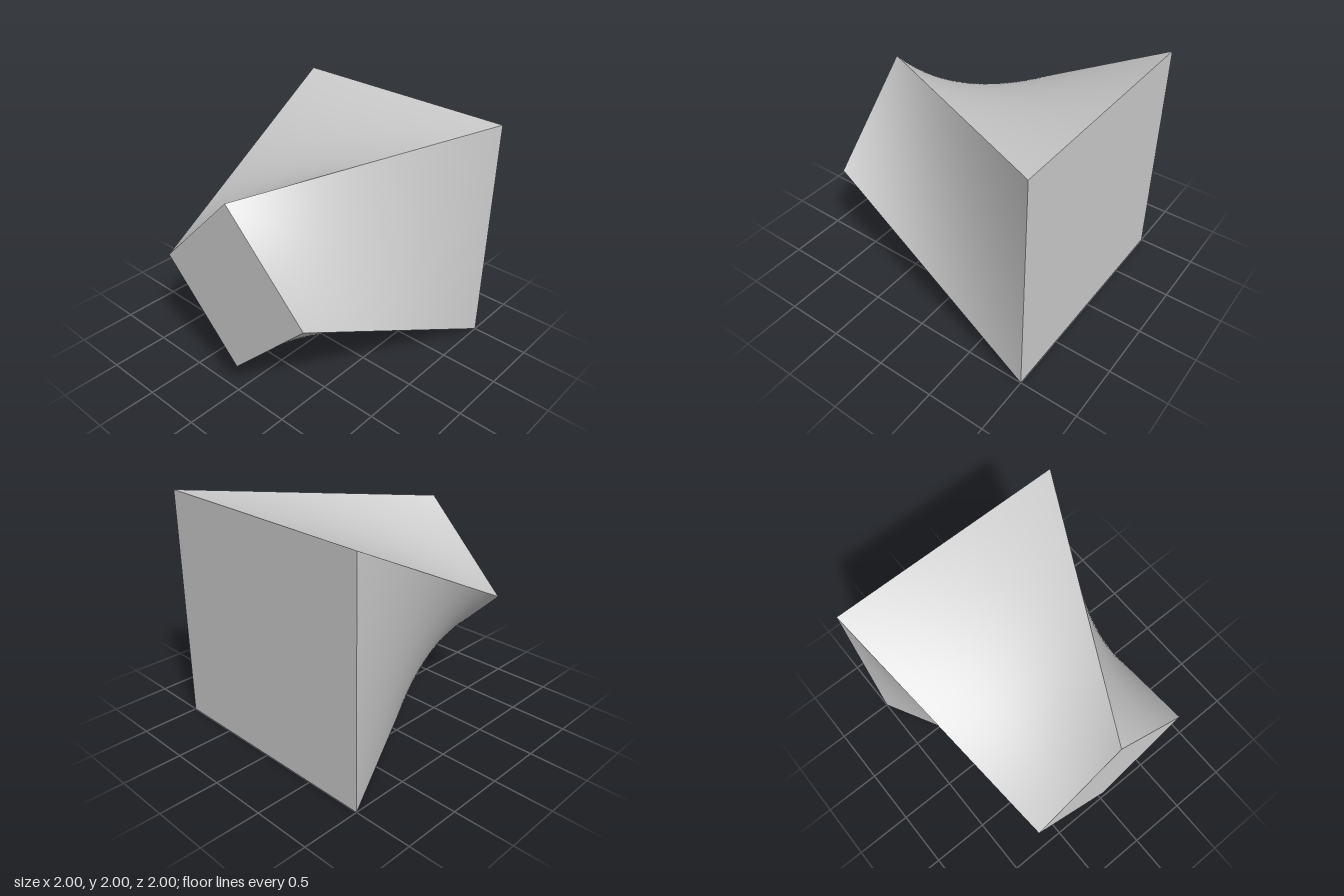
import * as THREE from 'three';
import { ParametricGeometry } from 'three/addons/geometries/ParametricGeometry.js';

// Four corners of a square, counter-clockwise seen from the front
const ring = (radius, startAngle, z) =>
  [0, 1, 2, 3].map((i) => {
    const a = startAngle + (i * Math.PI) / 2;
    return new THREE.Vector3(radius * Math.cos(a), 1 + radius * Math.sin(a), z);
  });

export function createModel() {
  const group = new THREE.Group();
  group.name = 'twistedFrustum';
  const material = new THREE.MeshStandardMaterial({ color: 0xcccccc });
  const add = (name, geometry) => {
    const mesh = new THREE.Mesh(geometry, material);
    mesh.name = name;
    group.add(mesh);
    return mesh;
  };

  // Large square at the back, smaller one at the front turned by 45 degrees
  const back = ring(Math.SQRT2, Math.PI / 4, -1);
  const front = ring(0.75, Math.PI / 2, 1);

  // Ruled, smoothly twisted sides joining matching edges of the two squares
  const start = new THREE.Vector3();
  const end = new THREE.Vector3();
  ['topSide', 'rightSide', 'bottomSide', 'leftSide'].forEach((name, i) => {
    const j = (i + 1) % 4;
    const surface = (u, v, target) => {
      start.lerpVectors(back[i], back[j], u);
      end.lerpVectors(front[i], front[j], u);
      target.lerpVectors(start, end, v);
    };
    add(name, new ParametricGeometry(surface, 32, 32));
  });

  // Flat end caps
  const cap = (corners) =>
    new THREE.ShapeGeometry(new THREE.Shape(corners.map((p) => new THREE.Vector2(p.x, p.y))));
  add('frontCap', cap(front)).position.z = 1;
  const backCap = add('backCap', cap(back));
  backCap.rotation.y = Math.PI;
  backCap.position.z = -1;

  return group;
}
